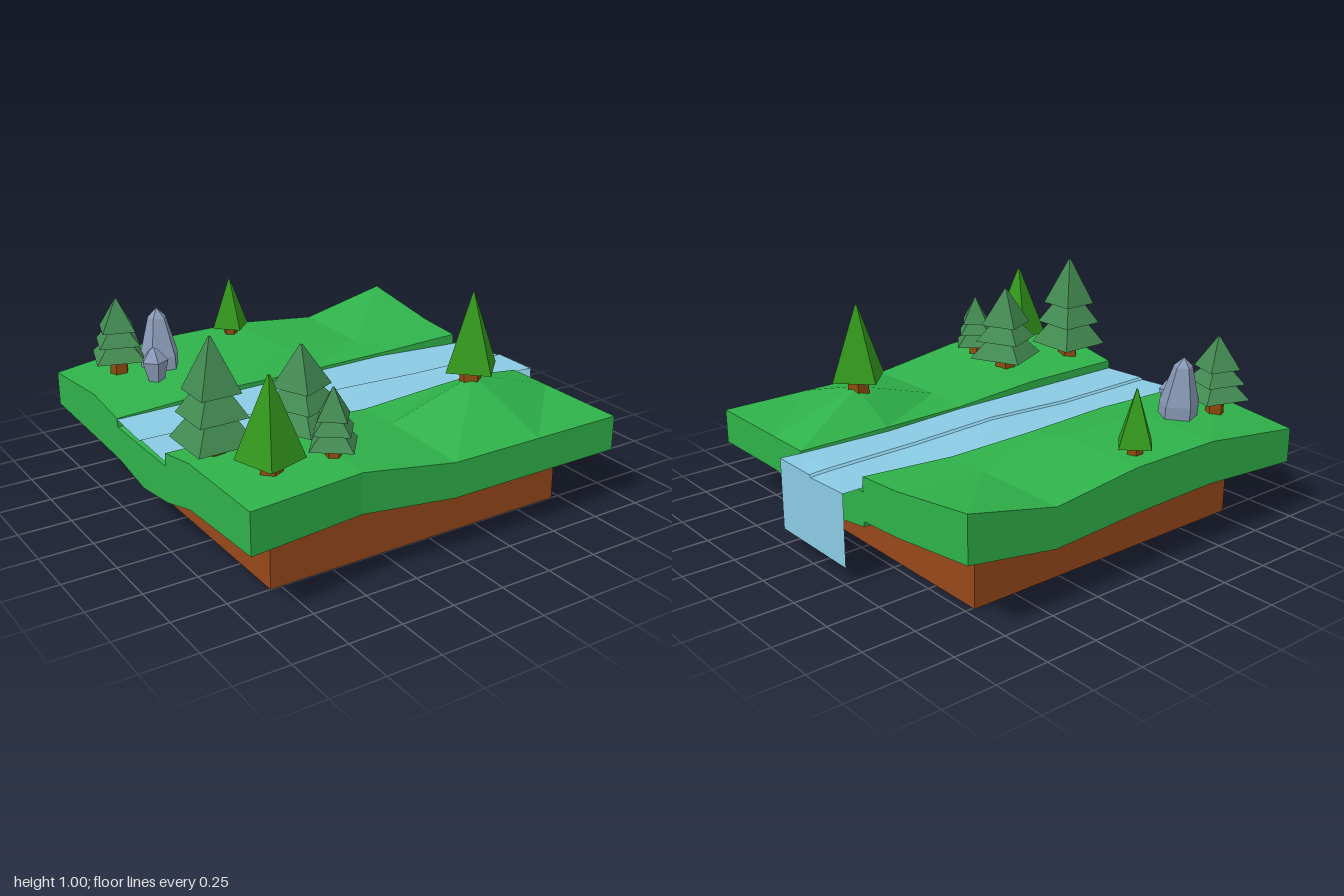
import * as THREE from 'three';

const mat = (color, side = THREE.FrontSide) =>
  new THREE.MeshStandardMaterial({ color, flatShading: true, side });
const GRASS = mat(0x2fb24a), DIRT = mat(0x97481a), TRUNK = mat(0x8f4d0c);
const PINE = mat(0x438a52), LEAF = mat(0x33981c), ROCK = mat(0x8a9bb8);
const WATER = mat(0x8acbe4, THREE.DoubleSide);

function mesh(name, geometry, material, x = 0, y = 0, z = 0, turn = 0) {
  const m = new THREE.Mesh(geometry, material);
  m.name = name;
  m.position.set(x, y, z);
  m.rotation.y = turn;
  return m;
}

// Collects flat quads; corners run counter-clockwise seen from outside
function quadGeometry(quads) {
  const pos = [];
  for (const [a, b, c, d] of quads) for (const p of [a, b, c, a, c, d]) pos.push(...p);
  const g = new THREE.BufferGeometry();
  g.setAttribute('position', new THREE.Float32BufferAttribute(pos, 3));
  g.computeVertexNormals();
  return g;
}

// Stations along the river and the two bank lines
const XS = [-1, -0.46, 0, 0.45, 0.9];
const BANK_FRONT = [0.24, 0.24, 0.24, 0.21, 0.23];
const BANK_BACK = [-0.25, -0.26, -0.27, -0.28, -0.26];
const all = (v) => XS.map(() => v);

// Grass slab: rows run from the front edge across the river bed to the back edge
function grassSlab() {
  const rows = [
    { z: [0.96, 0.91, 0.92, 0.92, 0.92], top: [0.5, 0.5, 0.43, 0.43, 0.43], low: [0.31, 0.315, 0.265, 0.265, 0.265] },
    { z: all(0.46), top: [0.5, 0.5, 0.44, 0.575, 0.43], low: [0.29, 0.27, 0.265, 0.265, 0.265] },
    { z: BANK_FRONT, top: [0.46, 0.46, 0.43, 0.44, 0.43], low: all(0.23) },
    { z: BANK_FRONT.map((z) => z - 0.003), top: all(0.4), low: all(0.23) },
    { z: all(0), top: all(0.4), low: all(0.2) },
    { z: BANK_BACK.map((z) => z + 0.003), top: all(0.4), low: all(0.24) },
    { z: BANK_BACK, top: [0.44, 0.46, 0.45, 0.45, 0.47], low: [0.24, 0.24, 0.24, 0.24, 0.265] },
    { z: all(-0.5), top: [0.47, 0.5, 0.5, 0.45, 0.485], low: [0.25, 0.265, 0.265, 0.265, 0.28] },
    { z: all(-0.96), top: [0.43, 0.5, 0.5, 0.45, 0.55], low: [0.265, 0.3, 0.29, 0.265, 0.335] },
  ];
  const at = (i, k) => [XS[i], rows[k].top[i], rows[k].z[i]];
  const under = (i, k) => [XS[i], rows[k].low[i], rows[k].z[i]];
  const quads = [], nx = XS.length - 1, nz = rows.length - 1;
  for (let i = 0; i < nx; i++) {
    for (let k = 0; k < nz; k++) {
      quads.push([at(i, k), at(i + 1, k), at(i + 1, k + 1), at(i, k + 1)]);
      quads.push([under(i, k), under(i, k + 1), under(i + 1, k + 1), under(i + 1, k)]);
    }
    quads.push([under(i, 0), under(i + 1, 0), at(i + 1, 0), at(i, 0)]);
    quads.push([under(i + 1, nz), under(i, nz), at(i, nz), at(i + 1, nz)]);
  }
  for (let k = 0; k < nz; k++) {
    quads.push([under(nx, k), under(nx, k + 1), at(nx, k + 1), at(nx, k)]);
    quads.push([under(0, k + 1), under(0, k), at(0, k), at(0, k + 1)]);
  }
  return quadGeometry(quads);
}

// Gently creased river surface, falling over the edge as a thin sheet
function riverSheet() {
  const xs = [...XS, 1, 1];
  const front = [...BANK_FRONT, 0.24, 0.24], back = [...BANK_BACK, -0.26, -0.26];
  const crest = [0.43, 0.425, 0.445, 0.43, 0.425, 0.42];
  const at = (i, k) => {
    const y = i === 6 ? 0.08 : [0.42, crest[i], crest[i] - 0.01, i < 4 ? 0.435 : 0.42][k];
    return [xs[i], y, [front[i], 0, -0.01, back[i]][k]];
  };
  const quads = [];
  for (let i = 0; i < xs.length - 1; i++)
    for (let k = 0; k < 3; k++)
      quads.push([at(i, k), at(i + 1, k), at(i + 1, k + 1), at(i, k + 1)]);
  return quadGeometry(quads);
}

// Four-sided tree; each skirt is [start height, lower radius, upper radius] as fractions
const PINE_SKIRTS = [[0, 1, 0.45], [0.25, 0.84, 0.36], [0.48, 0.68, 0.03]];
const CONE_SKIRTS = [[0, 1, 0.04]];
function tree(name, { x, z, ground, base, top, r, turn }, skirts, trunkR, foliage) {
  const g = new THREE.Group();
  g.name = name;
  const h = top - base, trunkH = base - ground + 0.06;
  g.add(mesh('trunk', new THREE.CylinderGeometry(r * trunkR, r * trunkR, trunkH, 5),
    TRUNK, 0, ground - 0.03 + trunkH / 2, 0));
  skirts.forEach(([start, lower, upper], i) => {
    const end = i + 1 < skirts.length ? skirts[i + 1][0] + 0.03 : 1;
    const th = (end - start) * h;
    g.add(mesh('foliage', new THREE.CylinderGeometry(r * upper, r * lower, th, 4),
      foliage, 0, base + start * h + th / 2, 0));
  });
  g.position.set(x, 0, z);
  g.rotation.y = turn;
  return g;
}

// Faceted standing stone, its crown leaning towards the back
function rock(x, z, r, h, outline, turn) {
  const profile = outline.map(([a, b]) => new THREE.Vector2(a * r, b * h));
  const geo = new THREE.LatheGeometry(profile, 5, turn);
  const p = geo.attributes.position;
  for (let i = 0; i < p.count; i++) p.setZ(i, p.getZ(i) - 0.25 * r * (p.getY(i) / h));
  return mesh('rock', geo, ROCK, x, 0.48, z);
}

export function createModel() {
  const model = new THREE.Group();
  model.name = 'riverIsland';

  // Ground
  model.add(mesh('dirtBase', new THREE.BoxGeometry(1.51, 0.32, 1.51), DIRT, -0.045, 0.16, -0.005));
  model.add(mesh('grass', grassSlab(), GRASS));
  model.add(mesh('river', riverSheet(), WATER));

  // Tiered pines
  const q = Math.PI / 4;
  for (const p of [
    { x: -0.86, z: 0.41, base: 0.55, top: 1.0, r: 0.19, turn: q },
    { x: -0.46, z: 0.45, base: 0.55, top: 0.9, r: 0.19, turn: q + 0.43 },
    { x: -0.47, z: 0.71, base: 0.55, top: 0.8, r: 0.13, turn: 0.12 },
    { x: -0.79, z: -0.68, base: 0.56, top: 0.85, r: 0.16, turn: q - 0.31 },
  ]) model.add(tree('pine', { ...p, ground: 0.48 }, PINE_SKIRTS, 0.28, PINE));

  // Plain cone trees
  for (const t of [
    { x: -0.1, z: -0.84, ground: 0.49, base: 0.54, top: 0.79, r: 0.1, turn: 0 },
    { x: 0.435, z: 0.46, ground: 0.56, base: 0.615, top: 0.97, r: 0.145, turn: 0 },
    { x: -0.76, z: 0.7, ground: 0.5, base: 0.555, top: 0.91, r: 0.145, turn: q + 0.3 },
  ]) model.add(tree('coneTree', t, CONE_SKIRTS, 0.36, LEAF));

  // Rocks
  model.add(rock(-0.6, -0.62, 0.1, 0.3, [[0, 0], [0.95, 0], [0.95, 0.25], [0.45, 0.85], [0, 1]], 0.4));
  model.add(rock(-0.69, -0.49, 0.065, 0.16, [[0, 0], [0.6, 0], [1, 0.6], [0.4, 0.9], [0, 1]], 1.1));
  return model;
}
